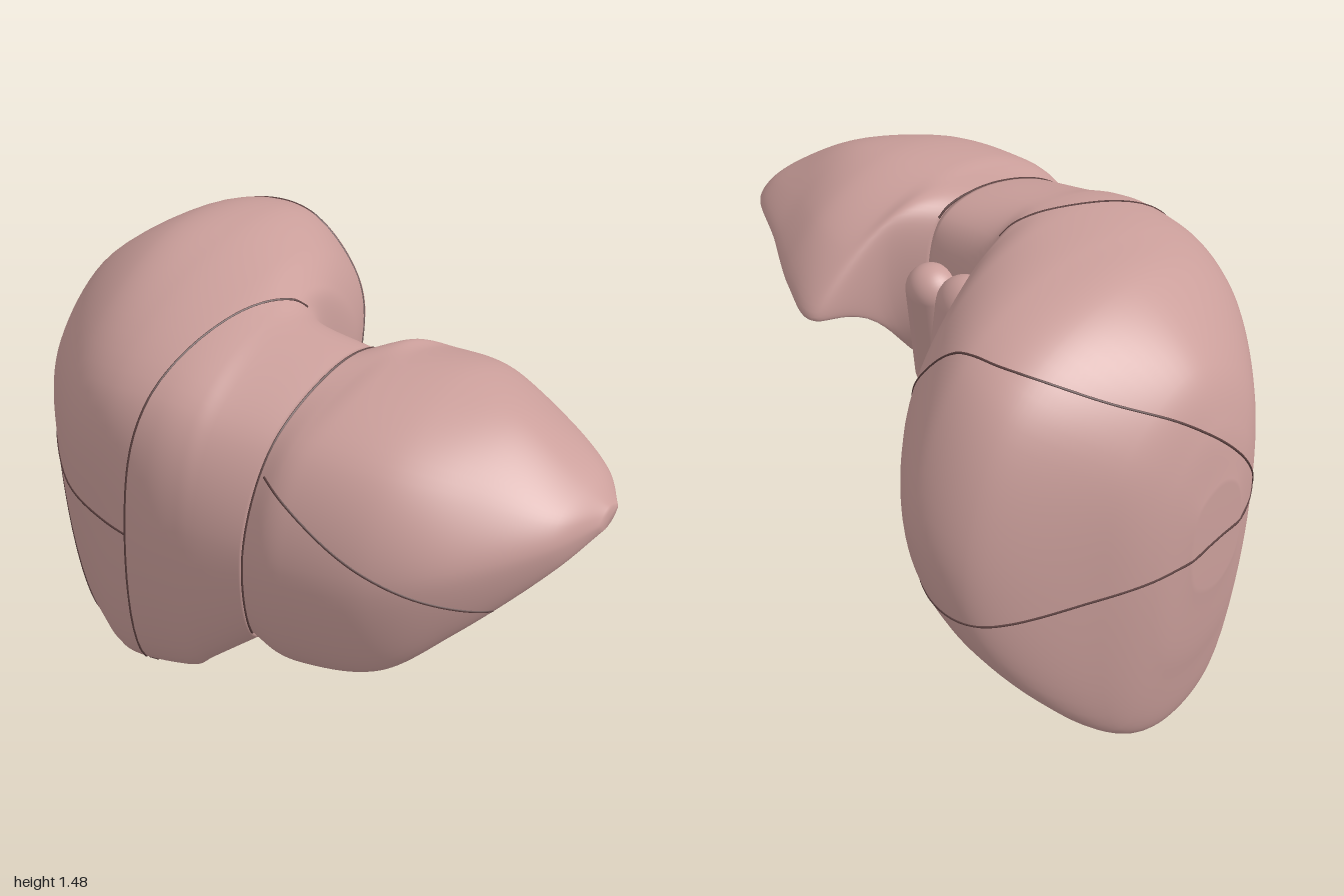
import * as THREE from 'three';

const flesh = new THREE.MeshStandardMaterial({ color: 0xcb9f9b, side: THREE.DoubleSide });
const dark = new THREE.MeshStandardMaterial({ color: 0x5c4140 });

// Cross-sections: x, then eight (z, y) pairs running
// lower margin, front, front shoulder, top, back shoulder, back, under back, under front
const JOIN = [.09, .66, .61, .725, .95, .58, 1.25, .25, 1.37, .08, 1.32, .03, 1.10, .09, .80, .38, .70];
const RIGHT = [
  [-1.0, .08, .62, .10, .75, .07, .88, 0, .92, -.10, .88, -.13, .75, -.10, .60, 0, .56],
  [-.965, .10, .33, .20, .75, .16, 1.0, -.02, 1.12, -.20, 1.0, -.27, .70, -.20, .33, -.05, .26],
  [-.89, .13, .06, .30, .70, .27, 1.09, -.02, 1.285, -.33, 1.13, -.42, .72, -.32, .12, -.10, 0],
  [-.65, .38, .18, .56, .80, .49, 1.21, 0, 1.455, -.53, 1.31, -.73, .84, -.63, .45, 0, .47],
  [-.45, .55, .26, .67, .85, .58, 1.27, 0, 1.48, -.51, 1.36, -.75, .92, -.64, .63, .08, .57],
  [-.25, .62, .34, .73, .90, .60, 1.30, .05, 1.46, -.34, 1.35, -.55, 1.05, -.42, .76, .20, .62],
  [-.14, .64, .39, .735, .95, .60, 1.29, .18, 1.43, -.14, 1.34, -.32, 1.08, -.22, .79, .26, .61],
  [-.08, .65, .45, .735, .95, .60, 1.27, .22, 1.41, .05, 1.34, -.02, 1.10, .03, .79, .30, .63],
  JOIN,
];
const LEFT = [
  JOIN,
  [.17, .66, .575, .75, .95, .60, 1.27, .20, 1.38, -.02, 1.33, -.07, 1.12, .06, .80, .37, .70],
  [.25, .65, .565, .755, .95, .60, 1.28, .20, 1.385, -.13, 1.27, -.30, 1.06, -.06, 1.07, .33, .76],
  [.50, .64, .63, .73, .98, .58, 1.27, .20, 1.38, -.10, 1.28, -.25, 1.10, -.03, 1.13, .38, .88],
  [.70, .56, .79, .64, 1.03, .50, 1.23, .22, 1.33, 0, 1.25, -.12, 1.14, .05, 1.13, .35, .98],
  [.92, .39, .99, .43, 1.08, .38, 1.15, .24, 1.19, .10, 1.17, .04, 1.12, .11, 1.08, .25, 1.03],
  [1.0, .24, 1.07, .25, 1.09, .23, 1.11, .20, 1.12, .17, 1.11, .15, 1.10, .17, 1.08, .20, 1.07],
];

// Slants the join between the lobes: further back means further to the left
function slant(p) {
  const s = p.x < .09
    ? THREE.MathUtils.smoothstep(p.x, -.15, .09)
    : 1 - THREE.MathUtils.smoothstep(p.x, .09, .6);
  p.x += s * .12 * (.72 - p.z);
  return p;
}

// Smooth loft through the cross-sections, closed at both ends
function loft(name, rows, steps, around) {
  const rails = [];
  for (let k = 0; k < 8; k++) {
    rails.push(new THREE.CatmullRomCurve3(
      rows.map(r => new THREE.Vector3(r[0], r[2 + 2 * k], r[1 + 2 * k]))));
  }
  const pos = [], index = [], centres = [];
  for (let i = 0; i <= steps; i++) {
    const ring = new THREE.CatmullRomCurve3(rails.map(c => c.getPoint(i / steps)), true);
    const centre = new THREE.Vector3();
    for (let j = 0; j < around; j++) {
      const p = slant(ring.getPoint(j / around));
      centre.addScaledVector(p, 1 / around);
      pos.push(p.x, p.y, p.z);
    }
    centres.push(centre);
  }
  const first = pos.length / 3, end = steps * around;
  pos.push(...centres[0].toArray(), ...centres[steps].toArray());
  for (let j = 0; j < around; j++) {
    const n = (j + 1) % around;
    for (let i = 0; i < steps; i++) {
      const a = i * around, b = a + around;
      index.push(a + j, b + j, a + n, b + j, b + n, a + n);
    }
    index.push(first, j, n, first + 1, end + n, end + j);
  }
  const geo = new THREE.BufferGeometry();
  geo.setAttribute('position', new THREE.Float32BufferAttribute(pos, 3));
  geo.setIndex(index);
  geo.computeVertexNormals();
  const mesh = new THREE.Mesh(geo, flesh);
  mesh.name = name;
  return mesh;
}

// Dark seam: a curve snapped onto the lobes, drawn as a thin half-sunk tube
function seam(name, points, targets) {
  const path = new THREE.CatmullRomCurve3(points.map(p => new THREE.Vector3(...p)));
  const ray = new THREE.Raycaster(), snapped = [];
  for (const p of path.getSpacedPoints(36)) {
    const out = p.clone().sub(new THREE.Vector3(p.x * .7, .9, .1)).normalize();
    ray.set(p.clone().addScaledVector(out, .3), out.clone().negate());
    const hit = ray.intersectObjects(targets)[0];
    if (hit && hit.point.distanceTo(p) < .15) snapped.push(hit.point);
  }
  const mesh = new THREE.Mesh(
    new THREE.TubeGeometry(new THREE.CatmullRomCurve3(snapped), 120, .004, 6), dark);
  mesh.name = name;
  return mesh;
}

// Rounded column between two points, flattened along its own z
function column(name, from, to, radius, flat) {
  const a = new THREE.Vector3(...from), b = new THREE.Vector3(...to);
  const axis = b.clone().sub(a);
  const mesh = new THREE.Mesh(new THREE.CapsuleGeometry(radius, axis.length(), 12, 28), flesh);
  mesh.position.copy(a).add(b).multiplyScalar(.5);
  mesh.quaternion.setFromUnitVectors(new THREE.Vector3(0, 1, 0), axis.normalize());
  mesh.scale.z = flat;
  mesh.name = name;
  return mesh;
}

export function createModel() {
  const model = new THREE.Group();
  model.name = 'liver';
  const right = loft('rightLobe', RIGHT, 112, 80);
  const left = loft('leftLobe', LEFT, 72, 80);
  model.add(right, left);
  model.updateMatrixWorld(true);
  const lobes = [right, left];

  // Segment boundaries
  model.add(
    seam('lobeSeam', [[.09, .64, .68], [.09, .95, .73], [.107, 1.25, .58], [.146, 1.37, .25], [.17, 1.32, .08]], lobes),
    seam('middleSeam', [[-.35, .34, .6], [-.34, .85, .7], [-.31, 1.2, .62], [-.2, 1.45, .25], [-.1, 1.41, .05]], lobes),
    seam('crossSeam', [[-.34, .85, .7], [-.7, .82, .52], [-.97, .75, .15], [-.94, .71, -.3],
      [-.62, .67, -.7], [-.35, .75, -.6], [-.22, .79, -.42], [-.14, .82, -.25]], lobes),
    seam('backSeam', [[-.67, .2, .37], [-.84, .5, .36], [-.95, .9, .15], [-.93, 1.15, -.1],
      [-.8, 1.33, -.37], [-.57, 1.39, -.49], [-.4, 1.36, -.48], [-.25, 1.2, -.45],
      [-.17, 1.03, -.37], [-.14, .84, -.25]], lobes),
    seam('leftSeam', [[.12, 1.19, .66], [.45, 1.04, .73], [.8, .88, .52]], lobes),
    seam('underSeamBack', [[-.66, .22, .36], [-.6, .43, .15], [-.4, .6, .03], [-.25, .7, -.1], [-.16, .78, -.22]], lobes),
    seam('underSeamFront', [[-.35, .33, .58], [-.25, .5, .45], [-.15, .6, .3], [-.06, .68, .12]], lobes));

  // Caudate lobe in the notch at the back
  model.add(
    column('caudateLeft', [.13, .81, .04], [.12, 1.13, -.01], .085, .95),
    column('caudateRight', [-.02, .75, -.07], [-.03, 1.13, -.02], .105, .8));

  // Small vessel stubs at the underside opening
  model.add(
    column('vesselStub', [-.02, .66, .18], [-.05, .74, .24], .05, 1),
    column('vesselStubSmall', [.04, .68, .2], [.03, .76, .26], .035, 1));
  return model;
}
